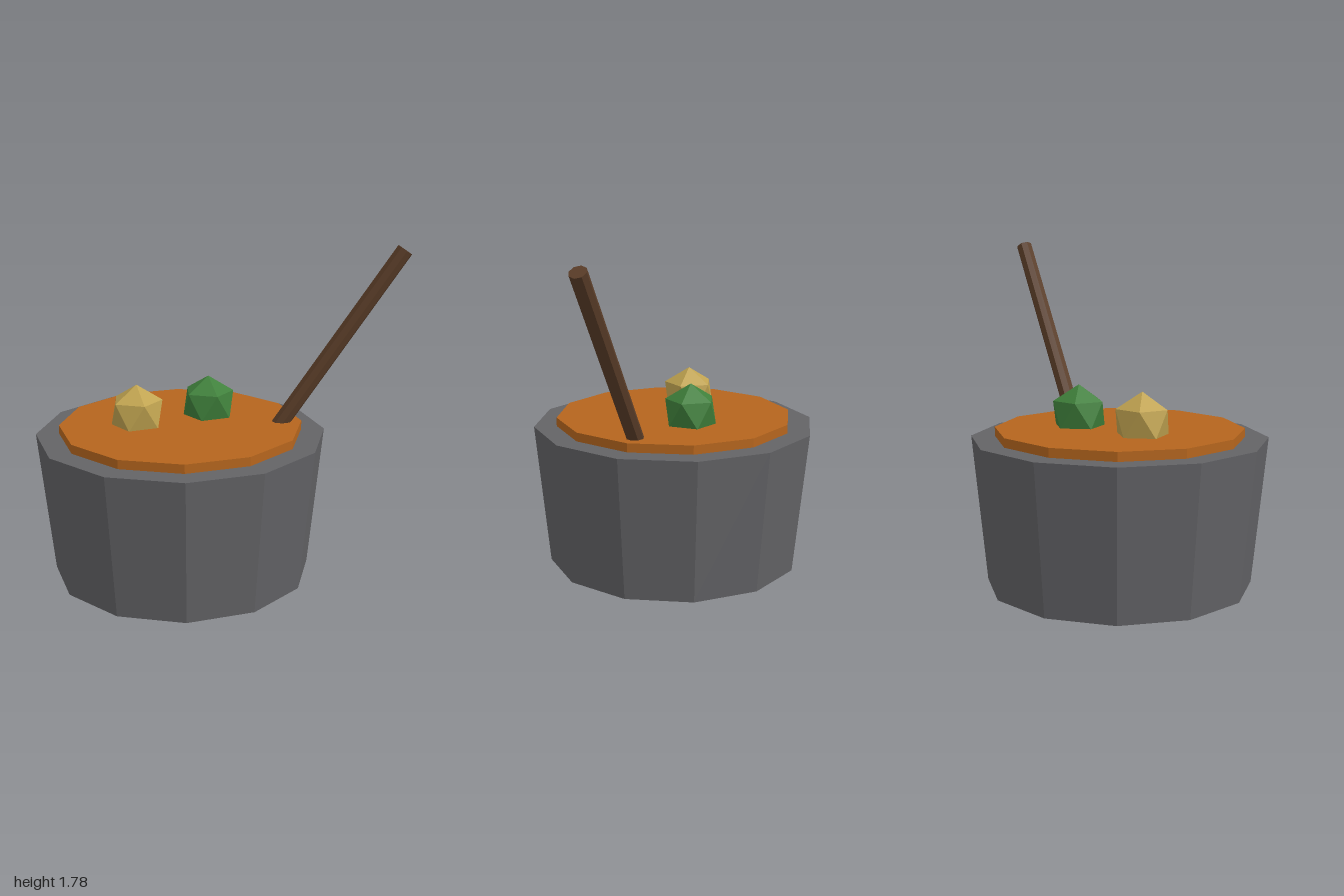
import * as THREE from 'three';

const material = (name, color) => {
  const m = new THREE.MeshStandardMaterial({ color, flatShading: true });
  m.name = name;
  return m;
};

export function createModel() {
  const model = new THREE.Group();
  model.name = 'soupPot';

  const iron = material('iron grey', 0x636366);
  const broth = material('orange broth', 0xb5651d);
  const wood = material('dark wood', 0x5a3d28);
  const potato = material('potato yellow', 0xc0a350);
  const herb = material('herb green', 0x3f803b);

  const add = (name, geometry, mat, x, y, z) => {
    const mesh = new THREE.Mesh(geometry, mat);
    mesh.name = name;
    mesh.position.set(x, y, z);
    model.add(mesh);
    return mesh;
  };

  // Twelve-sided pot, tapering to the base, filled with a raised disc of soup
  const potX = -0.22;
  add('pot', new THREE.CylinderGeometry(0.78, 0.702, 0.782, 12), iron, potX, 0.391, 0);
  add('soup', new THREE.CylinderGeometry(0.655, 0.655, 0.1, 12), broth, potX, 0.78, 0);

  // Floating chunks: icosahedra turned to stand on a corner
  const chunk = (name, mat, x, z) => {
    const mesh = add(name, new THREE.IcosahedronGeometry(0.154, 0), mat, x, 0.895, z);
    mesh.rotation.z = -Math.atan(2 / (1 + Math.sqrt(5)));
  };
  chunk('potatoChunk', potato, -0.455, 0);
  chunk('herbChunk', herb, -0.063, -0.157);

  // Ladle handle leaning out over the rim on the left
  const lean = 0.6;
  const length = 1.22;
  const tip = new THREE.Vector2(0.961, 1.756);
  const handle = add('ladleHandle', new THREE.CylinderGeometry(0.045, 0.045, length, 8), wood,
    tip.x - Math.sin(lean) * length / 2, tip.y - Math.cos(lean) * length / 2, 0);
  handle.rotation.z = -lean;

  return model;
}
